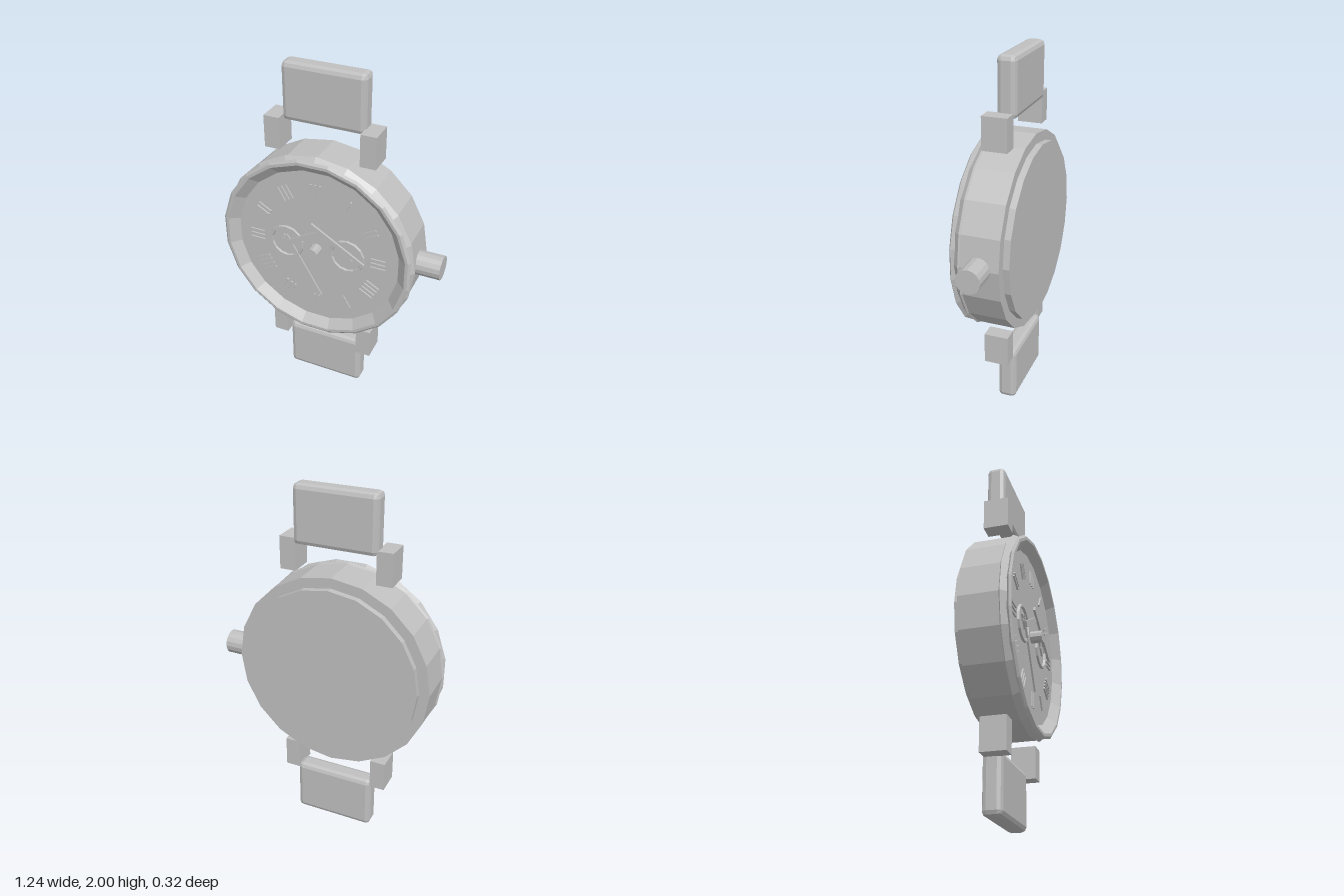
import * as THREE from 'three';
import { RoundedBoxGeometry } from 'three/addons/geometries/RoundedBoxGeometry.js';

export function createModel() {
  const model = new THREE.Group();
  model.name = 'wristwatch';
  const grey = new THREE.MeshStandardMaterial({ color: 0xc0c0c0 });
  grey.name = 'grey metal';
  const CX = -0.06, CY = 1, SIDES = 20, DIAL = 0.095;

  // Adds a faceted mesh
  function add(name, geometry, x = 0, y = 0, z = 0, parent = model) {
    const flat = geometry.index ? geometry.toNonIndexed() : geometry;
    flat.computeVertexNormals();
    const mesh = new THREE.Mesh(flat, grey);
    mesh.name = name;
    mesh.position.set(x, y, z);
    parent.add(mesh);
    return mesh;
  }

  // Disc or drum whose axis runs along z, between two depths
  function drum(name, r, z0, z1, sides, x = CX, y = CY) {
    const g = new THREE.CylinderGeometry(r, r, z1 - z0, sides).rotateX(Math.PI / 2);
    return add(name, g, x, y, (z0 + z1) / 2);
  }

  // Ring turned about the z axis from [radius, depth] pairs
  function ring(name, profile, sides, x = CX, y = CY, phase = 0) {
    const pts = profile.map(([r, z]) => new THREE.Vector2(r, z));
    const g = new THREE.LatheGeometry(pts, sides, phase).rotateX(Math.PI / 2);
    return add(name, g, x, y, 0);
  }

  // Tapered flat bar between two points on the dial
  function hand(name, x0, y0, x1, y1, w0, w1, z, depth) {
    const length = Math.hypot(x1 - x0, y1 - y0);
    const shape = new THREE.Shape([
      new THREE.Vector2(0, -w0 / 2), new THREE.Vector2(length, -w1 / 2),
      new THREE.Vector2(length, w1 / 2), new THREE.Vector2(0, w0 / 2),
    ]);
    const g = new THREE.ExtrudeGeometry(shape, { depth, bevelEnabled: false });
    add(name, g, x0, y0, z).rotation.z = Math.atan2(y1 - y0, x1 - x0);
  }

  // Case, back cover and dial
  drum('case', 0.553, -0.13, 0.085, SIDES);
  drum('backCover', 0.497, -0.165, -0.13, SIDES);
  drum('dial', 0.49, 0.08, DIAL, SIDES);

  // Bezel: two stepped rings, the front one turned by half a facet
  ring('bezelBase', [[0.49, 0.075], [0.545, 0.075], [0.562, 0.088],
    [0.535, 0.118], [0.51, 0.118]], SIDES);
  ring('bezelFront', [[0.525, 0.11], [0.535, 0.115], [0.556, 0.13], [0.543, 0.14],
    [0.527, 0.14], [0.477, DIAL]], SIDES, CX, CY, Math.PI / SIDES);

  // Crown on the side
  const crown = new THREE.CylinderGeometry(0.067, 0.067, 0.15, 16).rotateZ(Math.PI / 2);
  add('crown', crown, 0.545, CY, -0.018);

  // Bevelled strap ends and the four lugs
  for (const side of [1, -1]) {
    add('strap', new RoundedBoxGeometry(0.46, 0.316, 0.105, 1, 0.026), CX, CY + side * 0.841, -0.046);
    for (const x of [-0.327, 0.207]) {
      add('lug', new THREE.BoxGeometry(0.087, 0.178, 0.137), x, CY + side * 0.627, -0.016);
    }
  }

  // Two small counters with their own pointers
  for (const x of [-0.18, 0.18]) {
    const cx = CX + x;
    ring('counterRing', [[0.103, DIAL], [0.1, DIAL + 0.012], [0.088, DIAL + 0.012], [0.085, DIAL]], 14, cx);
    hand('counterPointer', cx - 0.02, CY + 0.045, cx + 0.03, CY - 0.02, 0.01, 0.006, DIAL, 0.01);
    hand('counterPointer', cx - 0.025, CY + 0.01, cx + 0.02, CY + 0.03, 0.01, 0.006, DIAL, 0.01);
  }

  // Hands and centre pin
  hand('hourHand', -0.23, 1.0, -0.03, 1.122, 0.032, 0.026, DIAL + 0.01, 0.012);
  hand('minuteHand', -0.085, 1.163, 0.225, 0.985, 0.03, 0.018, DIAL + 0.02, 0.012);
  hand('secondHand', -0.24, 1.05, -0.03, 0.695, 0.016, 0.008, DIAL + 0.005, 0.01);
  drum('centrePin', 0.033, DIAL, 0.16, 10);

  // Raised hour markers made of radial bars
  const bars = [3, 1, 2, 3, 4, 1, 2, 3, 4, 3, 2, 3];
  bars.forEach((count, hour) => {
    const marker = new THREE.Group();
    marker.name = 'hourMarker';
    marker.position.set(CX, CY, DIAL);
    marker.rotation.z = -hour * Math.PI / 6;
    for (let i = 0; i < count; i++) {
      add('markerBar', new THREE.BoxGeometry(0.011, 0.085, 0.01),
        (i - (count - 1) / 2) * 0.027, 0.36, 0.004, marker);
    }
    model.add(marker);
  });

  return model;
}
